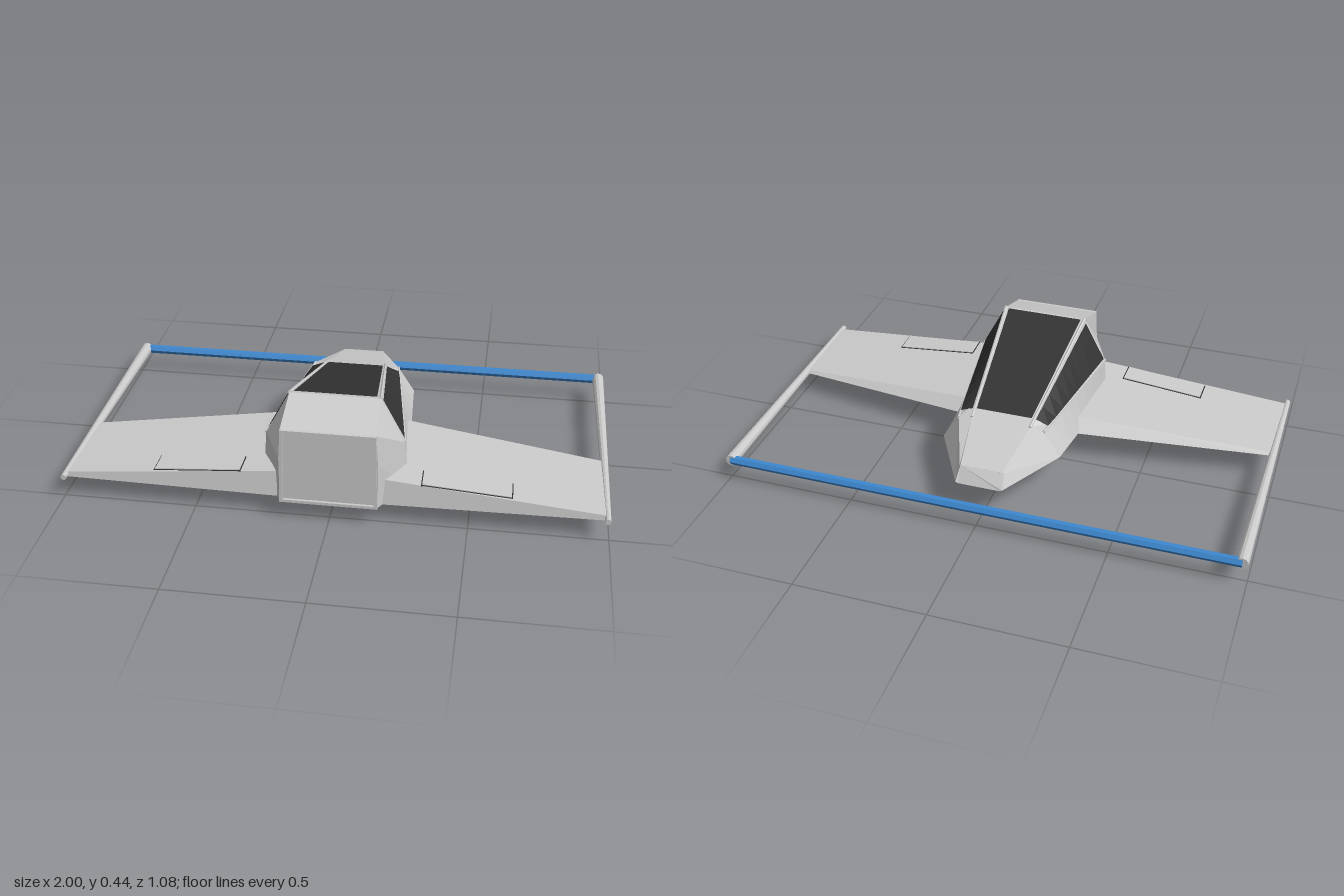
import * as THREE from 'three';

const V = (x, y, z) => new THREE.Vector3(x, y, z);
const paint = (color) => new THREE.MeshStandardMaterial({ color, flatShading: true });
const grey = paint(0xcccccc);
const blue = paint(0x3d88d0);
const glass = paint(0x333333);
glass.side = THREE.DoubleSide;

function named(name, geometry, material = grey) {
  const mesh = new THREE.Mesh(geometry, material);
  mesh.name = name;
  return mesh;
}

function fromTriangles(points) {
  const g = new THREE.BufferGeometry().setFromPoints(points);
  g.computeVertexNormals();
  return g;
}

// Skin a list of equal-length rings and close both ends
function loft(rings) {
  const tris = [];
  const n = rings[0].length;
  for (let s = 0; s < rings.length - 1; s++) {
    for (let i = 0; i < n; i++) {
      const j = (i + 1) % n;
      const a = rings[s][i], b = rings[s][j], c = rings[s + 1][j], d = rings[s + 1][i];
      tris.push(a, b, c, a, c, d);
    }
  }
  const first = rings[0], last = rings[rings.length - 1];
  for (let i = 1; i < n - 1; i++) {
    tris.push(first[0], first[i + 1], first[i], last[0], last[i], last[i + 1]);
  }
  return fromTriangles(tris);
}

// Straight rod between two points, optionally tapered
function rod(name, p, q, r0, r1, sides, material) {
  const mesh = named(name, new THREE.CylinderGeometry(r1, r0, p.distanceTo(q), sides), material);
  mesh.position.copy(p).lerp(q, 0.5);
  mesh.quaternion.setFromUnitVectors(V(0, 1, 0), q.clone().sub(p).normalize());
  return mesh;
}

// Pane inset within the quad a, b, c, d (u runs a to b, v runs from ab to dc)
function pane(a, b, c, d, u0, u1, v0, v1, lift) {
  const at = (u, v) => a.clone().lerp(b, u).lerp(d.clone().lerp(c, u), v).add(lift);
  const tris = [];
  const steps = 8;
  for (let i = 0; i < steps; i++) {
    const s = v0 + ((v1 - v0) * i) / steps, t = v0 + ((v1 - v0) * (i + 1)) / steps;
    tris.push(at(u0, s), at(u1, s), at(u1, t), at(u0, s), at(u1, t), at(u0, t));
  }
  return fromTriangles(tris);
}

export function createModel() {
  const model = new THREE.Group();
  model.name = 'spacecraft';

  // Hull half-sections: roof edge, shoulder, chine, keel edge
  const tail = [V(0.17, 0.378, 0.53), V(0.178, 0.26, 0.53), V(0.178, 0.08, 0.53), V(0.17, 0.078, 0.53)];
  const cabin = [V(0.165, 0.435, 0.365), V(0.255, 0.262, 0.365), V(0.268, 0.08, 0.365), V(0.14, 0.003, 0.365)];
  const brow = [V(0.115, 0.27, -0.205), V(0.168, 0.26, -0.205), V(0.232, 0.16, -0.205), V(0.12, 0.07, -0.205)];
  const nose = [V(0.08, 0.212, -0.43), V(0.085, 0.208, -0.425), V(0.09, 0.157, -0.463), V(0.08, 0.152, -0.463)];
  const ring = (half) => [...half, ...half.map((p) => V(-p.x, p.y, p.z)).reverse()];
  const sections = [tail];
  for (let i = 0; i <= 8; i++) sections.push(cabin.map((p, k) => p.clone().lerp(brow[k], i / 8)));
  sections.push(nose);
  model.add(named('hull', loft(sections.map(ring))));

  // Raised rim around the flat tail panel
  const rim = new THREE.Shape([[-0.178, 0.079], [0.178, 0.079], [0.17, 0.378], [-0.17, 0.378]].map(([x, y]) => new THREE.Vector2(x, y)));
  rim.holes.push(new THREE.Path([[-0.165, 0.09], [-0.16, 0.367], [0.16, 0.367], [0.165, 0.09]].map(([x, y]) => new THREE.Vector2(x, y))));
  const tailRim = named('tailRim', new THREE.ExtrudeGeometry(rim, { depth: 0.01, bevelEnabled: false }));
  tailRim.position.z = 0.53;
  model.add(tailRim);

  // Canopy roof glass
  const flip = (p) => V(-p.x, p.y, p.z);
  model.add(named('roofGlass', pane(flip(cabin[0]), cabin[0], brow[0], flip(brow[0]), 0.04, 0.96, 0.02, 0.93, V(0, 0.004, 0)), glass));

  for (const s of [1, -1]) {
    const side = s > 0 ? 'left' : 'right';
    const m = (p) => V(s * p.x, p.y, p.z);

    // Canopy side glass and its rails
    model.add(named(side + 'SideGlass', pane(m(cabin[0]), m(cabin[1]), m(brow[1]), m(brow[0]), 0.07, 0.96, 0.02, 0.93, V(s * 0.003, 0.003, 0)), glass));
    model.add(rod(side + 'CanopyRail', m(cabin[0]), m(brow[0]), 0.007, 0.006, 6, grey));
    model.add(rod(side + 'CanopySill', m(cabin[1]), m(brow[1]), 0.005, 0.005, 6, grey));

    // Wing: leading edge, front crest, rear crest, trailing edge, belly front
    const root = [V(0.18, 0.13, 0), V(0.18, 0.178, 0.05), V(0.18, 0.178, 0.49), V(0.18, 0.08, 0.505), V(0.18, 0.08, 0.08)];
    const tip = [V(0.98, 0.1, 0.133), V(0.98, 0.109, 0.143), V(0.98, 0.109, 0.502), V(0.98, 0.09, 0.505), V(0.98, 0.09, 0.15)];
    const wingRings = [root, tip].map((r) => (s > 0 ? r : r.map(m).reverse()));
    model.add(named(side + 'Wing', loft(wingRings)));

    // Flap plate lying on the sloping wing top
    const flap = named(side + 'Flap', new THREE.BoxGeometry(0.32, 0.006, 0.09));
    flap.position.set(s * 0.49, 0.1525, 0.441);
    flap.rotation.set(0, s * 0.016, -s * 0.086);
    model.add(flap);
    // Dark gap around the flap
    const gap = named(side + 'FlapGap', new THREE.BoxGeometry(0.328, 0.004, 0.098), glass);
    gap.position.set(s * 0.49, 0.1507, 0.441);
    gap.rotation.copy(flap.rotation);
    model.add(gap);

    // Tapered wingtip boom
    model.add(rod(side + 'Boom', V(s * 0.988, 0.1, 0.53), V(s * 0.977, 0.1, -0.53), 0.011, 0.023, 12, grey));
  }

  // Blue crossbar joining the boom fronts
  model.add(rod('crossbar', V(-0.978, 0.1, -0.523), V(0.978, 0.1, -0.523), 0.018, 0.018, 6, blue));
  return model;
}
